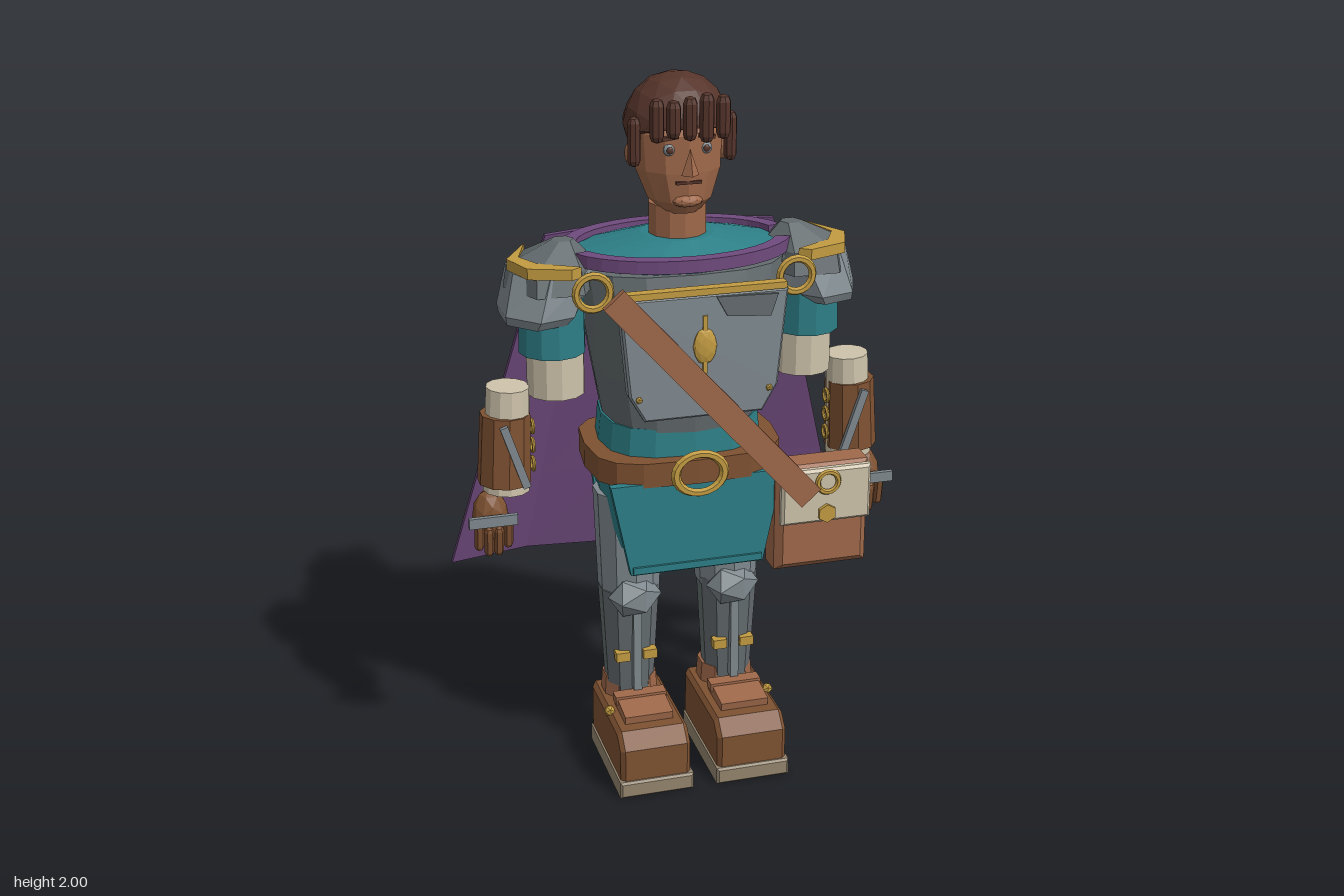
import * as THREE from 'three';

const mat = (name, color) => {
  const m = new THREE.MeshStandardMaterial({ color });
  m.name = name;
  return m;
};

export function createModel() {
  const root = new THREE.Group();
  root.name = 'caravanGuard';
  const skin = mat('tan', 0xa0694a), hair = mat('hairBrown', 0x55342a), leather = mat('leather', 0x7f5232);
  const gold = mat('gold', 0xc39c42), cream = mat('cream', 0xcfc4ac), sole = mat('sole', 0x95866f);
  const steel = mat('darkSteel', 0x646c6f), plate = mat('lightSteel', 0x808a8f);
  const teal = mat('teal', 0x2d7f87), purple = mat('purple', 0x6f4a7d);

  // Adds a faceted mesh
  const add = (name, geo, m, p = [0, 0, 0], r = [0, 0, 0], s = [1, 1, 1]) => {
    const g = geo.index ? geo.toNonIndexed() : geo;
    g.computeVertexNormals();
    const mesh = new THREE.Mesh(g, m);
    mesh.name = name;
    mesh.position.set(...p);
    mesh.rotation.set(...r);
    mesh.scale.set(...s);
    root.add(mesh);
    return mesh;
  };
  const box = (w, h, d) => new THREE.BoxGeometry(w, h, d);
  const cyl = (rt, rb, h, n = 12) => new THREE.CylinderGeometry(rt, rb, h, n);
  const ball = (r, d = 1) => new THREE.IcosahedronGeometry(r, d);
  const torus = (r, t) => new THREE.TorusGeometry(r, t, 6, 20);

  // Closed loft; sections run upward as [y, rx, rz, cz, cx]
  const loft = (sections, n = 16, e = 1) => {
    const v = [], f = [];
    const pw = (c) => Math.sign(c) * Math.abs(c) ** e;
    sections.forEach(([y, rx, rz, cz = 0, cx = 0]) => {
      for (let j = 0; j < n; j++) {
        const a = (j / n) * Math.PI * 2;
        v.push(cx + rx * pw(Math.cos(a)), y, cz + rz * pw(Math.sin(a)));
      }
    });
    const last = sections.length - 1;
    for (const i of [0, last]) v.push(sections[i][4] || 0, sections[i][0], sections[i][3] || 0);
    const bc = n * (last + 1);
    for (let j = 0; j < n; j++) {
      const k = (j + 1) % n;
      for (let i = 0; i < last; i++) {
        const l = i * n, u = l + n;
        f.push(l + j, u + j, l + k, u + j, u + k, l + k);
      }
      f.push(bc, j, k, bc + 1, last * n + k, last * n + j);
    }
    const g = new THREE.BufferGeometry();
    g.setAttribute('position', new THREE.Float32BufferAttribute(v, 3));
    g.setIndex(f);
    return g;
  };
  const slab = (pts, depth, bevel = 0) => new THREE.ExtrudeGeometry(
    new THREE.Shape(pts.map((p) => new THREE.Vector2(...p))),
    { depth, bevelEnabled: bevel > 0, bevelSize: bevel, bevelThickness: bevel, bevelSegments: 1 });
  const rounded = (w, h, d, b = 0.015) => {
    const x = w / 2 - b, y = h / 2 - b;
    return slab([[-x, -y], [x, -y], [x, y], [-x, y]], d - 2 * b, b).translate(0, 0, b - d / 2);
  };

  // Head and face
  add('head', loft([[1.635, 0.05, 0.05, 0.085], [1.67, 0.088, 0.09, 0.07], [1.75, 0.118, 0.115, 0.052],
    [1.85, 0.125, 0.12, 0.045], [1.93, 0.09, 0.09, 0.04]], 12), skin);
  add('neck', cyl(0.08, 0.08, 0.12), skin, [0, 1.59, 0.05]);
  add('nose', new THREE.ConeGeometry(0.024, 0.07, 4), skin, [0, 1.785, 0.175]);
  add('mouth', box(0.07, 0.008, 0.008), hair, [0, 1.727, 0.163]);
  add('chinBeard', ball(0.03), skin, [0, 1.675, 0.15], [0, 0, 0], [1.4, 0.6, 0.8]);
  for (const s of [-1, 1]) {
    add('eye', ball(0.017), plate, [s * 0.05, 1.815, 0.15], [0, 0, 0], [1, 1, 0.6]);
    add('pupil', ball(0.01), hair, [s * 0.05, 1.815, 0.158], [0, 0, 0], [1, 1, 0.5]);
    add('eyebrow', box(0.045, 0.01, 0.015), hair, [s * 0.05, 1.848, 0.155], [0, 0, s * -0.12]);
    add('ear', ball(0.025), skin, [s * 0.128, 1.785, 0.045], [0, 0, 0], [0.6, 1.3, 1]);
    add('sideLock', new THREE.CapsuleGeometry(0.018, 0.1, 2, 8), hair, [s * 0.132, 1.83, 0.1]);
    add('braidLoop', torus(0.038, 0.01), hair, [s * 0.052, 1.835, -0.143]);
  }

  // Hair cap with a raised front hairline, fringe and bun
  const cap = ball(1, 2), cp = cap.attributes.position;
  for (let i = 0; i < cp.count; i++) cp.setY(i, Math.max(cp.getY(i), -0.2 + 0.3 * cp.getZ(i)));
  add('hairCap', cap, hair, [0, 1.86, 0.04], [0, 0, 0], [0.143, 0.14, 0.135]);
  for (let i = -2; i <= 2; i++)
    add('fringeLock', new THREE.CapsuleGeometry(0.02, 0.08 + 0.015 * (i % 2), 2, 8), hair, [i * 0.045, 1.9, 0.173]);
  add('bun', ball(0.062), hair, [0, 1.815, -0.09], [0, 0, 0], [1.2, 1.1, 0.9]);

  // Torso
  add('shirtTop', loft([[1.46, 0.28, 0.19, 0.05], [1.53, 0.28, 0.185, 0.05], [1.565, 0.1, 0.1, 0.05]], 16), teal);
  add('breastplate', loft([[1.04, 0.21, 0.185, 0.045], [1.2, 0.24, 0.2, 0.05], [1.4, 0.275, 0.22, 0.055],
    [1.5, 0.285, 0.2, 0.05]], 16, 0.75), steel);
  add('waist', loft([[0.9, 0.235, 0.19, 0.05], [1.06, 0.22, 0.18, 0.05]], 16, 0.75), teal);
  add('belt', loft([[0.91, 0.272, 0.205, 0.065], [0.98, 0.272, 0.205, 0.065]], 16, 0.6), leather);
  add('beltBuckle', torus(0.06, 0.012), gold, [0, 0.945, 0.28], [0, 0, 0], [1.15, 0.95, 1]);
  add('skirt', loft([[0.68, 0.205, 0.12, 0.05], [0.93, 0.24, 0.16, 0.055]], 16, 0.5), teal);
  add('frontPanel', slab([[-0.19, 0.65], [0.19, 0.65], [0.245, 0.92], [-0.245, 0.92]], 0.025), teal, [0, 0, 0.235]);
  add('panelHem', box(0.37, 0.02, 0.008), teal, [0, 0.665, 0.263]);
  add('backPanel', slab([[-0.19, 0.67], [0.19, 0.67], [0.22, 0.93], [-0.22, 0.93]], 0.02), teal, [0, 0, -0.135]);

  // Chest plate and its trimmings
  add('chestPlate', slab([[-0.16, 1.13], [0.16, 1.13], [0.2, 1.2], [0.225, 1.46], [-0.225, 1.46], [-0.2, 1.2]],
    0.03, 0.006), plate, [0, 0, 0.28]);
  add('chestTrim', box(0.45, 0.018, 0.03), gold, [0, 1.475, 0.305]);
  add('emblem', ball(0.03), gold, [0, 1.325, 0.318], [0, 0, 0], [1.1, 1.7, 0.4]);
  add('emblemStem', box(0.012, 0.16, 0.01), gold, [0, 1.33, 0.318]);
  add('namePlate', slab([[0.03, 1.46], [0.06, 1.405], [0.18, 1.395], [0.2, 1.455]].reverse(), 0.008), steel, [0, 0, 0.316]);

  // Shoulder strap and satchel
  add('strap', box(0.83, 0.072, 0.02), skin, [0.025, 1.17, 0.332], [0, 0, Math.atan2(-0.62, 0.55)]);
  add('satchel', rounded(0.27, 0.31, 0.11, 0.02), skin, [0.355, 0.775, 0.232]);
  add('satchelFlap', rounded(0.26, 0.16, 0.03, 0.008), cream, [0.355, 0.85, 0.3]);
  add('satchelRing', torus(0.03, 0.008), gold, [0.355, 0.895, 0.323]);
  add('satchelClasp', cyl(0.027, 0.027, 0.02, 6), gold, [0.355, 0.8, 0.316], [Math.PI / 2, 0, 0]);

  // Collar in two flat arcs
  const collar = (name, from, to) => {
    const pts = [];
    for (const [rx, rz, dir] of [[0.318, 0.218, 1], [0.278, 0.18, -1]])
      for (let i = 0; i <= 14; i++) {
        const t = dir > 0 ? i / 14 : 1 - i / 14, a = Math.PI * (from + (to - from) * t);
        pts.push([rx * Math.cos(a), rz * Math.sin(a)]);
      }
    add(name, slab(pts, 0.035).rotateX(Math.PI / 2), purple, [0, 1.545, 0.045]);
  };
  collar('frontCollar', 0.11, 0.89);
  collar('backCollar', 1.06, 1.94);

  // Cape with folds deepening toward the hem
  const cape = new THREE.BoxGeometry(1, 1, 1, 5, 4, 1), pos = cape.attributes.position;
  const hemX = [-0.6, -0.365, -0.12, 0.12, 0.36, 0.6], hemZ = [-0.275, -0.325, -0.3, -0.352, -0.29, -0.275];
  const topY = [1.53, 1.53, 1.5, 1.5, 1.53, 1.53];
  for (let i = 0; i < pos.count; i++) {
    const c = Math.round((pos.getX(i) + 0.5) * 5), t = 0.5 - pos.getY(i);
    const mix = (a, b) => a + (b - a) * t;
    pos.setXYZ(i, mix(-0.33 + 0.132 * c, hemX[c]), mix(topY[c], 0.5),
      mix(c % 5 ? -0.155 : -0.12, hemZ[c]) + pos.getZ(i) * 0.018);
  }
  add('cape', cape, purple);

  for (const s of [-1, 1]) {
    // Shoulder armour
    add('cloakBrooch', torus(0.046, 0.011), gold, [s * 0.28, 1.47, 0.232]);
    add('chestRivet', ball(0.01, 0), gold, [s * 0.18, 1.19, 0.317]);
    add('pauldron', loft([[1.45, 0.13, 0.15, 0.06, s * 0.355], [1.51, 0.12, 0.13, 0.06, s * 0.355],
      [1.57, 0.03, 0.03, 0.06, s * 0.32]], 6), steel);
    add('pauldronFlap', loft([[1.365, 0.1, 0.13, 0.07, s * 0.4], [1.39, 0.115, 0.145, 0.07, s * 0.39],
      [1.5, 0.13, 0.12, 0.06, s * 0.35]], 7), plate);
    const edge = [[0.4, -0.06], [0.475, 0.07], [0.44, 0.17], [0.33, 0.21], [0.3, 0.19], [0.405, 0.13], [0.44, 0.06]];
    add('pauldronTrim', slab(edge.map(([x, z]) => [s * x, z]), 0.03).rotateX(Math.PI / 2), gold, [0, 1.53, 0]);

    // Arm
    add('sleeve', cyl(0.09, 0.092, 0.15), teal, [s * 0.36, 1.345, 0.085]);
    add('upperArm', cyl(0.08, 0.08, 0.13), cream, [s * 0.352, 1.215, 0.085]);
    add('forearm', cyl(0.06, 0.066, 0.3), cream, [s * 0.492, 1.03, 0.088], [0, 0, s * 0.04]);
    add('bracer', cyl(0.069, 0.074, 0.2, 10), leather, [s * 0.5, 1.005, 0.09], [0, 0, s * 0.04]);
    add('bracerBar', box(0.022, 0.19, 0.014), plate, [s * 0.485, 1.0, 0.165], [0, 0, s * -0.32]);
    for (let i = 0; i < 3; i++)
      add('bracerRing', torus(0.018, 0.005), gold, [s * 0.424, 0.95 + i * 0.055, 0.1], [0, Math.PI / 2, 0]);

    // Hand with curled fingers
    add('palm', ball(0.055), leather, [s * 0.545, 0.795, 0.085], [0, 0, 0], [0.95, 1.6, 0.9]);
    for (let i = 0; i < 4; i++)
      add('finger', new THREE.CapsuleGeometry(0.014, 0.065, 2, 6), leather,
        [s * (0.503 + i * 0.027), 0.76 - (i === 1 || i === 2 ? 0.02 : 0), 0.122], [0.15, 0, 0]);
    add('knuckleBar', box(0.135, 0.03, 0.014), plate, [s * 0.548, 0.81, 0.144]);

    // Leg
    add('thigh', cyl(0.1, 0.088, 0.32, 10), plate, [s * 0.145, 0.67, 0.055]);
    add('kneeGuard', ball(0.075, 0), plate, [s * 0.145, 0.52, 0.125], [0, 0.4, 0], [1.1, 0.85, 0.85]);
    add('shin', cyl(0.088, 0.068, 0.36, 10), steel, [s * 0.147, 0.35, 0.06]);
    add('shinRidge', box(0.024, 0.26, 0.03), plate, [s * 0.145, 0.36, 0.14]);
    for (const d of [-0.04, 0.04])
      add('shinBuckle', box(0.04, 0.028, 0.03), gold, [s * 0.145 + d, 0.335, 0.13]);

    // Boot
    add('bootCuff', cyl(0.078, 0.085, 0.11, 10), skin, [s * 0.145, 0.19, 0.05]);
    add('boot', slab([[0.005, 0.05], [0.33, 0.05], [0.33, 0.14], [0.295, 0.175], [0.005, 0.175]], 0.18, 0.012)
      .rotateY(-Math.PI / 2), leather, [s * 0.142 + 0.09, 0, 0]);
    add('bootTongue', box(0.14, 0.035, 0.13), skin, [s * 0.142, 0.2, 0.2], [0.12, 0, 0]);
    add('bootLace', box(0.15, 0.025, 0.04), skin, [s * 0.142, 0.215, 0.16]);
    add('bootStud', ball(0.017, 0), gold, [s * 0.237, 0.19, 0.18]);
    add('bootSole', rounded(0.215, 0.05, 0.355, 0.006), sole, [s * 0.142, 0.025, 0.175]);
  }
  return root;
}
